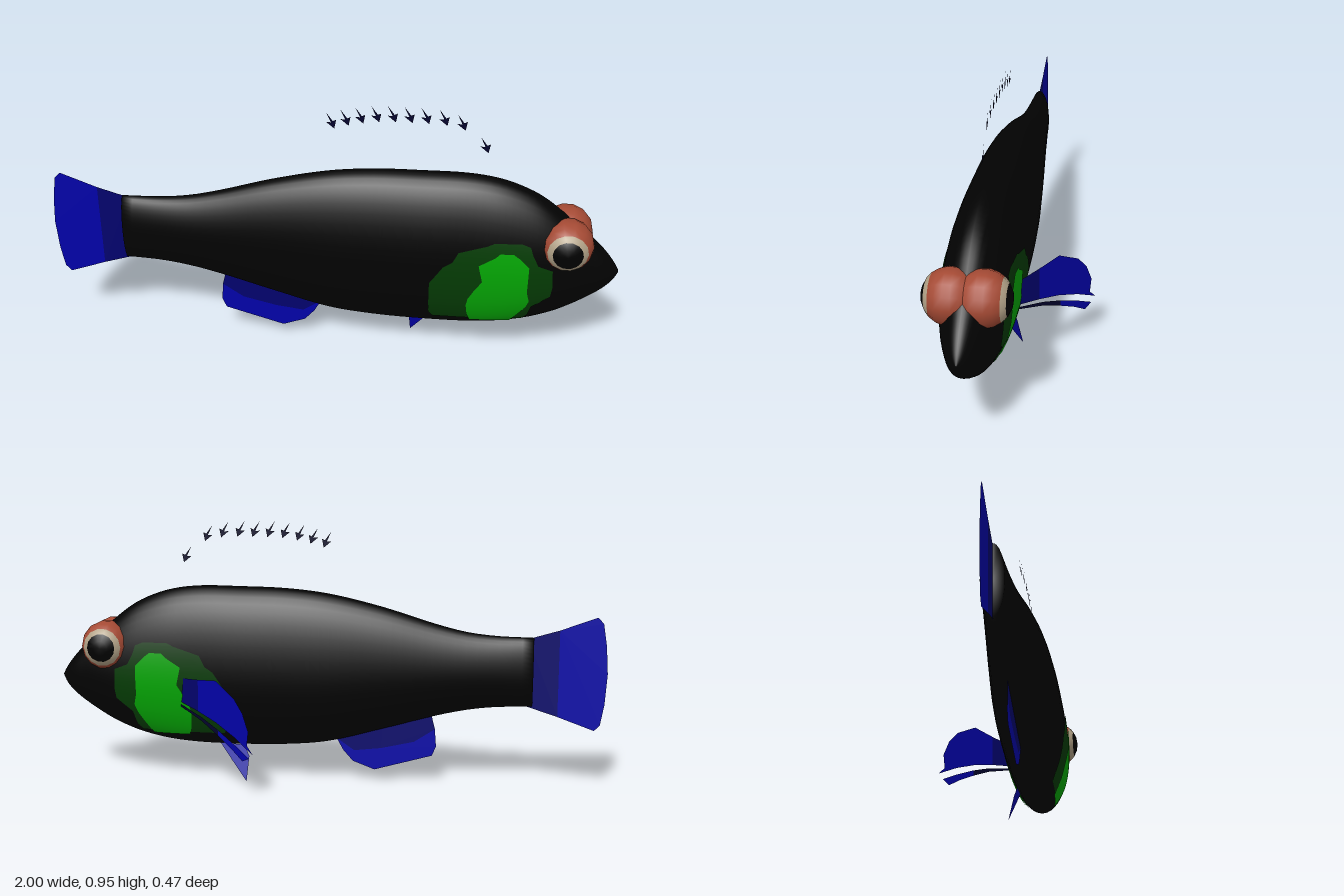
import * as THREE from 'three';

const mat = (name, color, side = THREE.FrontSide) => {
  const m = new THREE.MeshStandardMaterial({ color, side });
  m.name = name;
  return m;
};

const ZC = 0.095; // mid-plane of the body

// Body stations: x, top y, bottom y, half width
const STATIONS = [
  [-0.74, 0.545, 0.295, 0.038], [-0.6, 0.549, 0.289, 0.05], [-0.5, 0.561, 0.275, 0.06],
  [-0.4, 0.585, 0.252, 0.07], [-0.2, 0.645, 0.195, 0.09], [0, 0.69, 0.142, 0.107],
  [0.15, 0.706, 0.126, 0.114], [0.3, 0.71, 0.121, 0.117], [0.5, 0.708, 0.124, 0.116],
  [0.6, 0.69, 0.135, 0.114], [0.7, 0.65, 0.158, 0.107], [0.75, 0.618, 0.176, 0.101],
  [0.8, 0.578, 0.198, 0.092], [0.85, 0.537, 0.226, 0.079], [0.9, 0.493, 0.258, 0.062],
  [0.95, 0.442, 0.296, 0.042], [0.985, 0.396, 0.334, 0.02], [1, 0.37, 0.362, 0.003],
];
const profile = new THREE.CubicInterpolant(
  STATIONS.map((s) => s[0]), STATIONS.flatMap((s) => s.slice(1)), 3);

// Elliptical section at x: centre height, half height, half width
function section(x) {
  const [top, bottom, w] = profile.evaluate(x);
  return { c: (top + bottom) / 2, h: (top - bottom) / 2, w };
}

// Indexed grid surface from a function of (row, column)
function grid(rows, cols, point, wrap = false) {
  const pos = [], index = [];
  const n = wrap ? cols : cols + 1;
  for (let i = 0; i <= rows; i++) for (let j = 0; j < n; j++) pos.push(...point(i, j));
  for (let i = 0; i < rows; i++) {
    for (let j = 0; j < cols; j++) {
      const k = (j + 1) % n;
      const a = i * n + j, b = a + n, c = i * n + k, d = c + n;
      index.push(a, b, c, b, d, c);
    }
  }
  const g = new THREE.BufferGeometry();
  g.setAttribute('position', new THREE.Float32BufferAttribute(pos, 3));
  g.setIndex(index);
  g.computeVertexNormals();
  return g;
}

function bodyGeometry() {
  const rows = 70;
  return grid(rows + 2, 40, (i, j) => {
    const t = THREE.MathUtils.clamp((i - 1) / rows, 0, 1);
    const x = -0.74 + 1.74 * Math.sin(t * Math.PI / 2); // finer towards the snout
    const { c, h, w } = section(Math.min(x, 1));
    const k = i === 0 || i === rows + 2 ? 0 : 1; // end rings close the tail and snout
    const a = (j / 40) * Math.PI * 2;
    return [x, c + k * h * Math.sin(a), ZC + k * w * Math.cos(a)];
  }, true);
}

// Colour patch hugging the flank; outline rows are y, x from, x to
function patchGeometry(outline, side, lift) {
  const sub = 5, rows = (outline.length - 1) * sub;
  return grid(rows, 14, (i, j) => {
    const r = Math.min(Math.floor(i / sub), outline.length - 2), f = i / sub - r;
    const [y, x0, x1] = outline[r].map((v, k) => THREE.MathUtils.lerp(v, outline[r + 1][k], f));
    const x = THREE.MathUtils.lerp(x0, x1, j / 14);
    const { c, h, w } = section(x);
    const s = (y - c) / (h + lift);
    return [x, y, ZC + side * (w + lift) * Math.sqrt(Math.max(0, 1 - s * s))];
  });
}

const CHEEK = [
  [0.512, 0.57, 0.66], [0.5, 0.545, 0.69], [0.47, 0.45, 0.7], [0.43, 0.43, 0.72], [0.41, 0.4, 0.77],
  [0.34, 0.355, 0.775], [0.3, 0.355, 0.77], [0.25, 0.355, 0.71], [0.2, 0.355, 0.7], [0.175, 0.37, 0.685],
];
const CHEEK_CENTRE = [
  [0.475, 0.59, 0.635], [0.46, 0.575, 0.655], [0.425, 0.52, 0.69], [0.36, 0.535, 0.69],
  [0.32, 0.51, 0.69], [0.28, 0.49, 0.7], [0.25, 0.485, 0.69], [0.2, 0.49, 0.66], [0.165, 0.5, 0.64],
];

// Flat sheet from an outline, each point optionally moved by a rule
function sheet(points, place = (x, y) => [x, y, ZC]) {
  const g = new THREE.ShapeGeometry(new THREE.Shape(points.map((p) => new THREE.Vector2(...p))));
  const p = g.attributes.position;
  for (let i = 0; i < p.count; i++) p.setXYZ(i, ...place(p.getX(i), p.getY(i)));
  g.computeVertexNormals();
  return g;
}

export function createModel() {
  const model = new THREE.Group();
  model.name = 'fish';
  const D = THREE.DoubleSide;
  const black = mat('body black', 0x020202);
  const blue = mat('fin blue', 0x0202a8, D);
  const darkBlue = mat('fin root blue', 0x02026c, D);
  const spine = mat('spine dark blue', 0x02022c, D);
  const green = mat('cheek green', 0x04a804, D);
  const darkGreen = mat('cheek dark green', 0x043c04, D);
  const salmon = mat('eye salmon', 0xa54a34);
  const cream = mat('eye cream', 0xb3a388);
  const pupil = mat('pupil black', 0x010101);

  const add = (name, geometry, material, parent = model) => {
    const m = new THREE.Mesh(geometry, material);
    m.name = name;
    parent.add(m);
    return m;
  };

  add('body', bodyGeometry(), black);

  // Cheeks and eyes on both sides; the eyeballs meet over the snout
  for (const side of [1, -1]) {
    const label = side > 0 ? 'front' : 'back';
    add(label + 'CheekPatch', patchGeometry(CHEEK, side, 0.003), darkGreen);
    add(label + 'CheekCentre', patchGeometry(CHEEK_CENTRE, side, 0.006), green);

    const eye = new THREE.Group();
    eye.name = label + 'Eye';
    eye.position.set(0.813, 0.49, ZC + side * 0.049);
    eye.rotation.x = side * Math.PI / 2;
    eye.scale.setScalar(0.091);
    model.add(eye);
    const cap = (from, to, rings) => new THREE.SphereGeometry(1, 14, rings, 0, Math.PI * 2, from, to - from);
    add('eyeball', cap(0.86, Math.PI, 8), salmon, eye);
    add('iris', cap(0.6, 0.86, 2), cream, eye);
    add('pupil', cap(0, 0.6, 2), pupil, eye);
  }

  // Tail fin
  add('tailFin', sheet([
    [-0.83, 0.573], [-0.96, 0.622], [-0.98, 0.6], [-0.993, 0.52], [-1, 0.42], [-0.993, 0.31],
    [-0.98, 0.235], [-0.96, 0.213], [-0.83, 0.26],
  ]), blue);
  add('tailFinRoot', sheet([[-0.72, 0.54], [-0.83, 0.573], [-0.83, 0.26], [-0.72, 0.295]]), darkBlue);

  // Anal fin
  add('analFin', sheet([
    [-0.395, 0.2], [-0.4, 0.135], [-0.385, 0.1], [-0.175, 0.04], [-0.095, 0.07], [-0.06, 0.11],
    [-0.035, 0.155], [-0.1, 0.11], [-0.2, 0.122], [-0.32, 0.15],
  ]), blue);
  add('analFinRoot', sheet([
    [-0.395, 0.2], [-0.32, 0.15], [-0.2, 0.122], [-0.1, 0.11], [-0.035, 0.155], [-0.04, 0.18],
    [-0.2, 0.22], [-0.38, 0.26],
  ]), darkBlue);

  // Pectoral fin on the far flank, swept back as it spreads (outline in z, y)
  const swept = (z, y) => [0.5 + 1.41 * (z + 0.03), y, z];
  add('pectoralFin', sheet([
    [-0.07, 0.392], [-0.125, 0.402], [-0.18, 0.352], [-0.205, 0.305], [-0.221, 0.245], [-0.217, 0.195],
    [-0.235, 0.165], [-0.18, 0.213], [-0.125, 0.25], [-0.07, 0.276],
  ], swept), blue);
  add('pectoralFinRoot', sheet([
    [-0.015, 0.385], [-0.07, 0.392], [-0.07, 0.276], [-0.015, 0.297],
  ], swept), darkBlue);
  add('pectoralLowerRay', sheet([
    [-0.015, 0.288], [-0.08, 0.258], [-0.13, 0.226], [-0.13, 0.205], [-0.08, 0.244], [-0.015, 0.28],
  ], swept), spine);
  add('pectoralLowerRayTip', sheet([
    [-0.13, 0.226], [-0.18, 0.187], [-0.222, 0.15], [-0.203, 0.135], [-0.17, 0.17], [-0.13, 0.205],
  ], swept), blue);

  // Pelvic fin
  const splayed = (x, y) => [x, y, 0.01 + 0.25 * y];
  add('pelvicFin', sheet([[0.39, 0.135], [0.3, 0.13], [0.28, 0.09], [0.287, 0], [0.345, 0.075]], splayed), blue);

  // Free-standing tips of the dorsal spines
  const TIPS = [
    [0.005, 0.88], [0.053, 0.893], [0.102, 0.904], [0.155, 0.912], [0.21, 0.915],
    [0.265, 0.915], [0.32, 0.915], [0.38, 0.912], [0.44, 0.898], [0.52, 0.82],
  ];
  const tip = sheet([
    [-0.02, 0.032], [0.003, 0.001], [0.014, 0.006], [0.008, -0.026], [-0.02, -0.003], [-0.003, -0.004],
  ], (x, y) => [x, y, 0]);
  for (const [x, y] of TIPS) add('dorsalSpineTip', tip, spine).position.set(x, y, ZC);

  return model;
}
